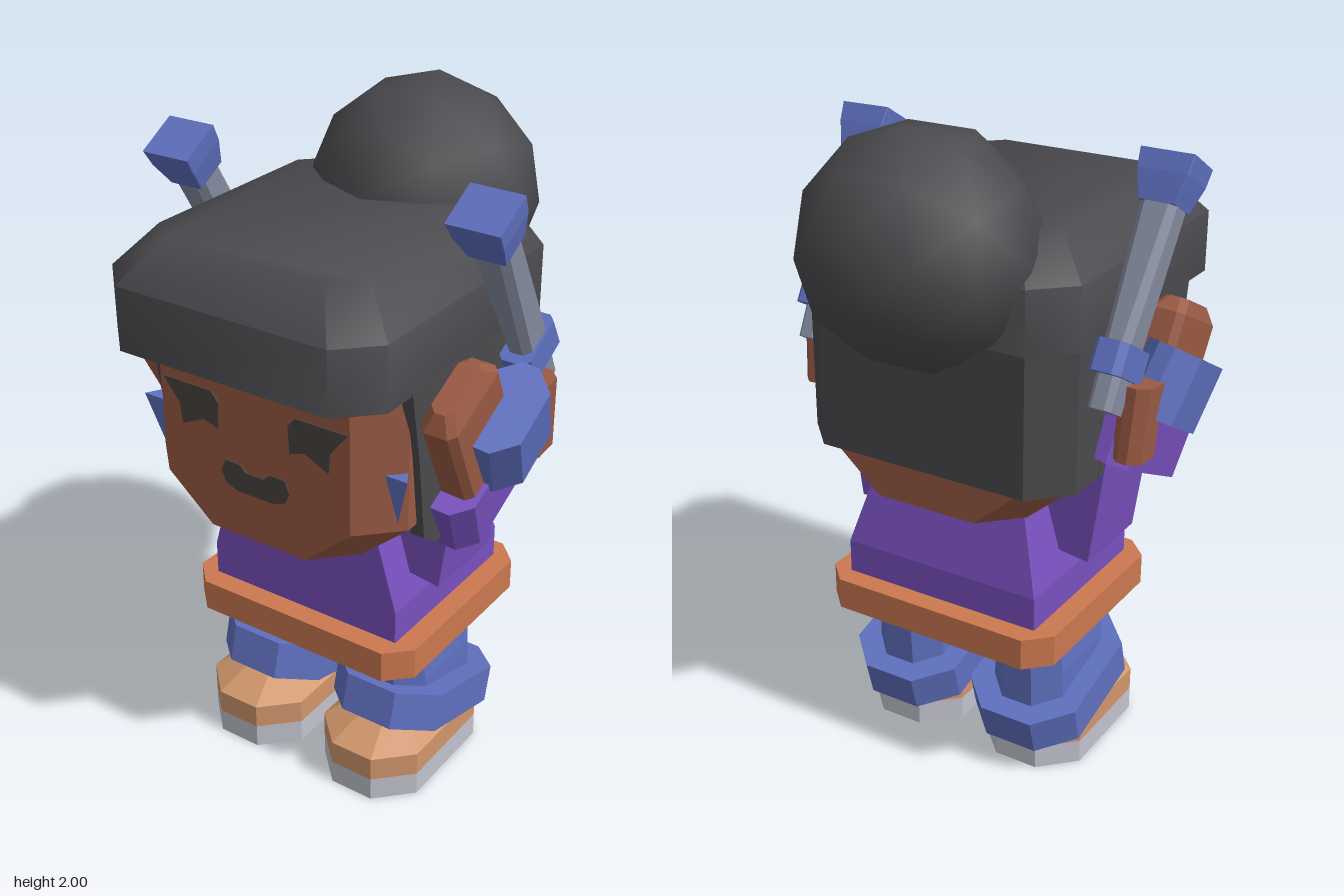
import * as THREE from 'three';
import { toCreasedNormals } from 'three/addons/utils/BufferGeometryUtils.js';

const mat = (name, color) => {
  const m = new THREE.MeshStandardMaterial({ color });
  m.name = name;
  return m;
};

// Chamfered block lofted through octagonal rings: [y, x0, x1, z0, z1, chamfer]
function loft(rings) {
  const loops = rings.map(([y, x0, x1, z0, z1, c]) => [
    [x0 + c, z1], [x1 - c, z1], [x1, z1 - c], [x1, z0 + c],
    [x1 - c, z0], [x0 + c, z0], [x0, z0 + c], [x0, z1 - c],
  ].map(([x, z]) => [x, y, z]));
  const pos = [];
  const tri = (a, b, c) => pos.push(...a, ...b, ...c);
  for (let k = 0; k < loops.length - 1; k++) {
    for (let i = 0; i < 8; i++) {
      const j = (i + 1) % 8, lo = loops[k], hi = loops[k + 1];
      tri(lo[i], lo[j], hi[j]);
      tri(lo[i], hi[j], hi[i]);
    }
  }
  const bottom = loops[0], top = loops[loops.length - 1];
  for (let i = 1; i < 7; i++) {
    tri(bottom[0], bottom[i + 1], bottom[i]);
    tri(top[0], top[i], top[i + 1]);
  }
  const g = new THREE.BufferGeometry();
  g.setAttribute('position', new THREE.Float32BufferAttribute(pos, 3));
  g.computeVertexNormals();
  return g;
}

// Centred block with chamfered vertical edges
const block = (w, h, d, c) => loft([-h / 2, h / 2].map((y) => [y, -w / 2, w / 2, -d / 2, d / 2, c]));

const shapeOf = (pts) => new THREE.Shape(pts.map(([x, y]) => new THREE.Vector2(x, y)));
const plate = (pts, depth) => new THREE.ExtrudeGeometry(shapeOf(pts), { depth, bevelEnabled: false });

export function createModel() {
  const hair = mat('hair', 0x4a4a4e), skin = mat('skin', 0x9a5a43), purple = mat('tunic purple', 0x7850be);
  const orange = mat('belt orange', 0xcc7850), blue = mat('cloth blue', 0x5f70bf), steel = mat('steel', 0x858b9e);
  const tan = mat('shoe tan', 0xd0966c), pale = mat('sole pale', 0xc2c2ce), dark = mat('face dark', 0x4a4340);

  const model = new THREE.Group();
  model.name = 'warrior';
  const add = (parent, name, geo, material, p = [0, 0, 0], r = [0, 0, 0]) => {
    const m = new THREE.Mesh(geo, material);
    m.name = name;
    m.position.set(...p);
    m.rotation.set(...r);
    parent.add(m);
    return m;
  };

  // Head and face
  add(model, 'head', loft([
    [0.89, -0.27, 0.27, -0.31, 0.515, 0.11],
    [1.02, -0.42, 0.42, -0.31, 0.515, 0.11],
    [1.5, -0.42, 0.42, -0.31, 0.515, 0.11],
  ]), skin);
  add(model, 'mouth', plate([
    [-0.115, 1.085], [-0.1, 1.12], [-0.05, 1.12], [-0.03, 1.1], [0.03, 1.1], [0.05, 1.12],
    [0.1, 1.12], [0.115, 1.085], [0.1, 1.05], [0.06, 1.035], [-0.06, 1.035], [-0.1, 1.05],
  ], 0.005), dark, [0, 0, 0.514]);

  // Hair cap with fringe, back and bun
  add(model, 'hairCap', toCreasedNormals(loft([
    [1.435, -0.44, 0.44, -0.335, 0.645, 0.105],
    [1.62, -0.44, 0.44, -0.335, 0.645, 0.105],
    [1.735, -0.335, 0.335, -0.23, 0.54, 0.08],
  ]), 0.9), hair);
  add(model, 'hairBack', loft([
    [1.02, -0.44, 0.44, -0.335, 0.25, 0.105],
    [1.45, -0.44, 0.44, -0.335, 0.25, 0.105],
  ]), hair);
  add(model, 'bun', new THREE.IcosahedronGeometry(0.337, 1), hair, [0, 1.67, -0.312], [-0.21, 0, 0]);

  // Torso, neckline and belt
  add(model, 'torso', loft([
    [0.54, -0.325, 0.325, -0.245, 0.315, 0.002],
    [0.66, -0.325, 0.325, -0.245, 0.315, 0.002],
    [0.92, -0.25, 0.25, -0.185, 0.315, 0.002],
  ]), purple);
  add(model, 'neckline', plate([[-0.16, 0.9], [0, 0.72], [0.16, 0.9]], 0.005), skin, [0, 0, 0.314]);
  add(model, 'belt', loft([
    [0.46, -0.39, 0.39, -0.31, 0.38, 0.07],
    [0.557, -0.39, 0.39, -0.31, 0.38, 0.07],
  ]), orange);

  // Mirrored parts, built on the +x side
  for (const s of [1, -1]) {
    const side = new THREE.Group();
    side.name = s > 0 ? 'leftSide' : 'rightSide';
    side.scale.x = s;
    model.add(side);

    add(side, 'eye', plate([
      [0.305, 1.32], [0.14, 1.32], [0.115, 1.29], [0.12, 1.21],
      [0.17, 1.225], [0.245, 1.19], [0.25, 1.25],
    ], 0.005), dark, [0, 0, 0.514]);

    // Side lock: profile in (-z, y), turned to face sideways
    add(side, 'sideLock', plate([
      [-0.43, 1.45], [-0.39, 1.23], [-0.36, 0.98], [-0.3, 0.935], [-0.22, 0.945], [-0.1, 1.02], [0.1, 1.02], [0.1, 1.45],
    ], 0.042), hair, [0.399, 0, 0], [0, Math.PI / 2, 0]);
    add(side, 'earring', new THREE.ConeGeometry(0.05, 0.15, 3).toNonIndexed(), blue, [0.4, 1.12, 0.425], [Math.PI, 0, 0])
      .geometry.computeVertexNormals();

    // Leg, ankle wrap and shoe
    add(side, 'leg', loft([
      [0.1, 0.09, 0.34, -0.155, 0.23, 0.07],
      [0.33, 0.1, 0.335, -0.155, 0.23, 0.07],
      [0.48, 0.11, 0.32, -0.155, 0.23, 0.06],
    ]), blue);
    add(side, 'ankleWrap', block(0.37, 0.118, 0.51, 0.1), blue, [0.215, 0.212, 0.042], [-0.265, 0, 0]);
    add(side, 'shoe', loft([
      [0.075, 0.045, 0.385, -0.155, 0.38, 0.1],
      [0.15, 0.045, 0.385, -0.155, 0.38, 0.1],
      [0.215, 0.13, 0.3, -0.1, 0.25, 0.05],
    ]), tan);
    add(side, 'sole', loft([
      [0, 0.045, 0.385, -0.155, 0.38, 0.1],
      [0.075, 0.045, 0.385, -0.155, 0.38, 0.1],
    ]), pale);

    // Raised arm
    add(side, 'upperArm', block(0.16, 0.34, 0.28, 0.002), purple, [0.345, 0.9, 0.07], [0, 0, -0.14]);
    add(side, 'forearm', block(0.17, 0.18, 0.43, 0.05), purple, [0.452, 1.075, 0.1], [0.46, 0, -0.13]);
    add(side, 'cuff', block(0.17, 0.2, 0.29, 0.06), blue, [0.545, 1.24, 0.118], [0.5, 0, -0.18]);
    add(side, 'hand', loft([
      [-0.18, -0.055, 0.055, -0.13, 0.13, 0.02],
      [0.12, -0.055, 0.055, -0.13, 0.13, 0.02],
      [0.165, -0.035, 0.035, -0.09, 0.09, 0.02],
    ]), skin, [0.485, 1.275, 0.23], [0.47, 0, -0.05]);
    add(side, 'thumb', block(0.09, 0.22, 0.14, 0.03), skin, [0.53, 1.2, -0.055], [0.1, 0, -0.05]);

    // Blade held across the back of the hand
    const sword = new THREE.Group();
    sword.name = 'sword';
    sword.position.set(0.485, 1.375, -0.095);
    sword.rotation.set(0.53, 0, -0.01);
    side.add(sword);
    add(sword, 'blade', loft([
      [-0.14, -0.035, 0.035, -0.05, 0.05, 0.015],
      [0.05, -0.04, 0.04, -0.06, 0.06, 0.02],
      [0.45, -0.055, 0.055, -0.05, 0.05, 0.02],
    ]), steel);
    add(sword, 'guard', block(0.1, 0.09, 0.18, 0.02), blue);
    add(sword, 'pommel', loft([
      [0.43, -0.055, 0.055, -0.055, 0.055, 0.002],
      [0.51, -0.075, 0.075, -0.068, 0.068, 0.002],
      [0.565, -0.08, 0.08, -0.07, 0.07, 0.002],
    ]), blue, [0, 0, 0], [0, 0, 0]);
  }
  return model;
}
